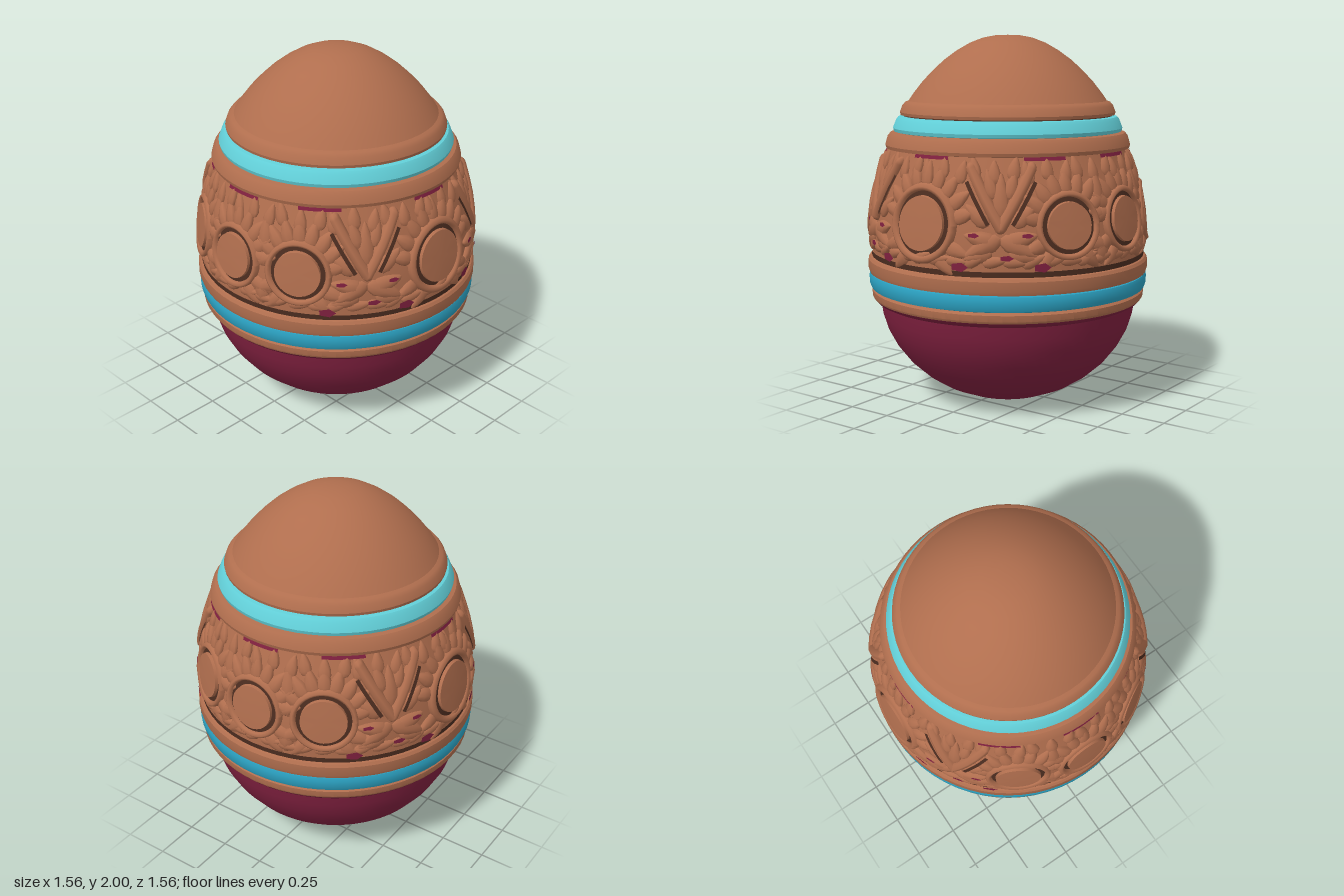
import * as THREE from 'three';
import { mergeGeometries, toCreasedNormals } from 'three/addons/utils/BufferGeometryUtils.js';

const mat = (name, color) => Object.assign(new THREE.MeshStandardMaterial({ color }), { name });
const DEG = Math.PI / 180;

// Carved band's ground as [radius, height]
const GROUND = [[0.748, 0.78], [0.752, 0.9], [0.747, 1.0], [0.734, 1.1], [0.713, 1.2], [0.684, 1.3], [0.645, 1.42]];
function groundRadius(y) {
  let i = 1;
  while (i < GROUND.length - 1 && y > GROUND[i][1]) i++;
  const [r0, y0] = GROUND[i - 1], [r1, y1] = GROUND[i];
  return r0 + (r1 - r0) * (y - y0) / (y1 - y0);
}

// Bend a flat relief (x along the band, y up, z outward) onto the egg at an angle from the front
function wrap(geo, angle) {
  const p = geo.attributes.position;
  for (let i = 0; i < p.count; i++) {
    const y = p.getY(i), r = groundRadius(y) + p.getZ(i), a = angle * DEG + p.getX(i) / 0.74;
    p.setXYZ(i, r * Math.sin(a), y, r * Math.cos(a));
  }
  geo.computeVertexNormals();
  return geo;
}

// Pointed leaf, rooted at u, v and growing along tilt (degrees from up)
function leaf(u, v, length, width, tilt, height = 0.022) {
  const g = new THREE.SphereGeometry(1, 8, 6);
  const p = g.attributes.position;
  for (let i = 0; i < p.count; i++) p.setX(i, p.getX(i) * (0.85 - 0.4 * p.getY(i)));
  return g.scale(width / 2, length / 2, height).translate(0, length / 2, 0)
    .rotateZ(-tilt * DEG).translate(u, v, 0);
}

// Rounded rib from one point to another
function rib(u0, v0, u1, v1, width, height) {
  const length = Math.hypot(u1 - u0, v1 - v0);
  return new THREE.CapsuleGeometry(width / 2, length, 3, 8, 4).scale(1, 1, 2 * height / width)
    .rotateZ(-Math.atan2(u1 - u0, v1 - v0)).translate((u0 + u1) / 2, (v0 + v1) / 2, 0);
}

// Thin irregular patch lying just above the ground
function patch(u, v, width, height, lift) {
  return new THREE.CircleGeometry(0.5, 5).scale(width, height, 1).translate(u, v, lift);
}

export function createModel() {
  const copper = mat('copper', 0xb06e4e);
  const maroon = mat('maroon', 0x80203f);
  const paleTurquoise = mat('paleTurquoise', 0x62cfd8);
  const deepTurquoise = mat('deepTurquoise', 0x2ba0c0);
  const darkBrown = mat('darkBrown', 0x4c2d20);

  const egg = new THREE.Group();
  egg.name = 'ornateEgg';
  const add = (name, geo, material) => {
    const mesh = new THREE.Mesh(geo, material);
    mesh.name = name;
    egg.add(mesh);
  };
  const lathe = (name, points, material) => add(name, toCreasedNormals(
    new THREE.LatheGeometry(points.map(([r, y]) => new THREE.Vector2(r, y)), 64), 0.5), material);

  // Shell
  lathe('bottomShell', [[0, 0], [0.14, 0.005], [0.25, 0.02], [0.37, 0.07], [0.465, 0.13], [0.555, 0.21],
    [0.625, 0.3], [0.673, 0.39], [0.698, 0.47], [0.71, 0.54], [0.735, 0.552], [0.749, 0.568]], maroon);
  lathe('carvedGround', GROUND, copper);
  lathe('topDome', [[0.55, 1.635], [0.52, 1.68], [0.465, 1.75], [0.408, 1.81], [0.348, 1.865], [0.28, 1.915],
    [0.207, 1.957], [0.135, 1.985], [0.07, 1.997], [0, 2]], copper);

  // Bands around the shell
  lathe('lowerRim', [[0.749, 0.568], [0.756, 0.58], [0.757, 0.612], [0.735, 0.63]], copper);
  lathe('lowerTurquoiseBand', [[0.735, 0.622], [0.762, 0.63], [0.77, 0.65], [0.772, 0.69], [0.765, 0.708],
    [0.74, 0.712]], deepTurquoise);
  lathe('lowerMoulding', [[0.74, 0.712], [0.77, 0.716], [0.776, 0.735], [0.775, 0.785], [0.765, 0.8],
    [0.735, 0.812]], copper);
  lathe('lowerGroove', [[0.755, 0.803], [0.757, 0.832]], darkBrown);
  lathe('upperMoulding', [[0.64, 1.387], [0.668, 1.392], [0.673, 1.41], [0.66, 1.455], [0.645, 1.474],
    [0.6, 1.482]], copper);
  lathe('upperTurquoiseBand', [[0.6, 1.476], [0.625, 1.482], [0.63, 1.5], [0.612, 1.545], [0.6, 1.56],
    [0.565, 1.564]], paleTurquoise);
  lathe('domeGroove', [[0.574, 1.555], [0.57, 1.572]], darkBrown);
  lathe('domeRim', [[0.56, 1.564], [0.588, 1.57], [0.591, 1.585], [0.578, 1.62], [0.562, 1.638],
    [0.53, 1.65]], copper);

  // Carvings, collected by part
  const discs = [], grooves = [], rings = [], leaves = [], chevrons = [], patches = [];

  function medallion(angle, disc, outer) {
    const y = 1.055, mid = (disc + 0.015 + outer) / 2, half = (outer - disc - 0.015) / 2;
    discs.push(wrap(new THREE.CylinderGeometry(disc - 0.008, disc, 0.05, 32)
      .rotateX(Math.PI / 2).translate(0, y, 0), angle));
    grooves.push(wrap(new THREE.RingGeometry(disc - 0.01, disc + 0.03, 40).translate(0, y, 0.008), angle));
    rings.push(wrap(new THREE.TorusGeometry(mid, half, 8, 40)
      .scale(1, 1, 0.03 / half).translate(0, y, 0), angle));
    // Crown of petals above the ring, small leaves below
    for (const t of [-80, -60, -40, -20, 0, 20, 40, 60, 80, -150, -125, 125, 150]) {
      const s = Math.sin(t * DEG), c = Math.cos(t * DEG);
      leaves.push(wrap(leaf(s * (outer - 0.03), y + c * (outer - 0.03), 0.14, 0.085, t * 0.9), angle));
    }
  }
  for (const a of [0, 180]) medallion(a, 0.145, 0.205);
  for (const a of [60, 90, 120, 240, 270, 300]) medallion(a, 0.125, 0.175);

  // V ribs with leaf clusters around them
  for (const a of [33, 147, 213, 327]) {
    for (const s of [-1, 1]) {
      chevrons.push(wrap(rib(0, 1.05, s * 0.165, 1.34, 0.06, 0.034), a));
      leaves.push(
        wrap(leaf(0, 1.0, 0.21, 0.1, s * 118, 0.027), a),
        wrap(leaf(s * 0.02, 0.97, 0.17, 0.1, s * 75, 0.025), a),
        wrap(leaf(s * 0.06, 1.06, 0.16, 0.09, s * 50), a),
        wrap(leaf(s * 0.04, 0.93, 0.16, 0.09, s * 105), a),
        wrap(leaf(s * 0.04, 1.19, 0.15, 0.075, s * 15), a));
      grooves.push(wrap(new THREE.PlaneGeometry(0.02, 0.24, 1, 6).rotateZ(-s * 0.52)
        .translate(s * 0.12, 1.17, 0.02), a));
      patches.push(
        wrap(patch(s * 0.2, 0.855, 0.09, 0.05, 0.023), a),
        wrap(patch(s * 0.13, 1.015, 0.06, 0.025, 0.024), a));
    }
    patches.push(wrap(patch(0.03, 0.905, 0.07, 0.03, 0.024), a));
    leaves.push(wrap(leaf(0, 1.1, 0.22, 0.09, 0), a));
  }

  // Upright leaves between neighbouring side medallions
  for (const a of [75, 105, 255, 285]) {
    leaves.push(wrap(leaf(0, 1.14, 0.19, 0.09, 0), a), wrap(leaf(0, 0.98, 0.14, 0.1, 180), a));
  }

  // Leaf borders along the top and bottom of the carved band
  for (let i = 0; i < 48; i++) {
    const a = i * 7.5, lean = (i % 3 - 1) * 14;
    leaves.push(wrap(leaf(0, 1.26 + 0.02 * (i % 2), 0.12, 0.08, lean, 0.02), a));
    leaves.push(wrap(leaf(-0.05, 0.86 + 0.012 * (i % 3), 0.13, 0.065, 80 + lean, 0.021), a));
  }

  // Maroon slivers under the upper moulding
  for (const a of [0, 52, 90, 128, 180, 232, 270, 308]) {
    patches.push(wrap(new THREE.PlaneGeometry(0.24, 0.018, 8, 1).translate(0, 1.383, 0.012), a));
  }

  add('medallionDiscs', toCreasedNormals(mergeGeometries(discs), 0.6), copper);
  add('medallionRings', mergeGeometries(rings), copper);
  add('carvedLeaves', mergeGeometries(leaves), copper);
  add('chevronRibs', mergeGeometries(chevrons), copper);
  add('carvedGrooves', mergeGeometries(grooves), darkBrown);
  add('maroonPatches', mergeGeometries(patches), maroon);
  return egg;
}
